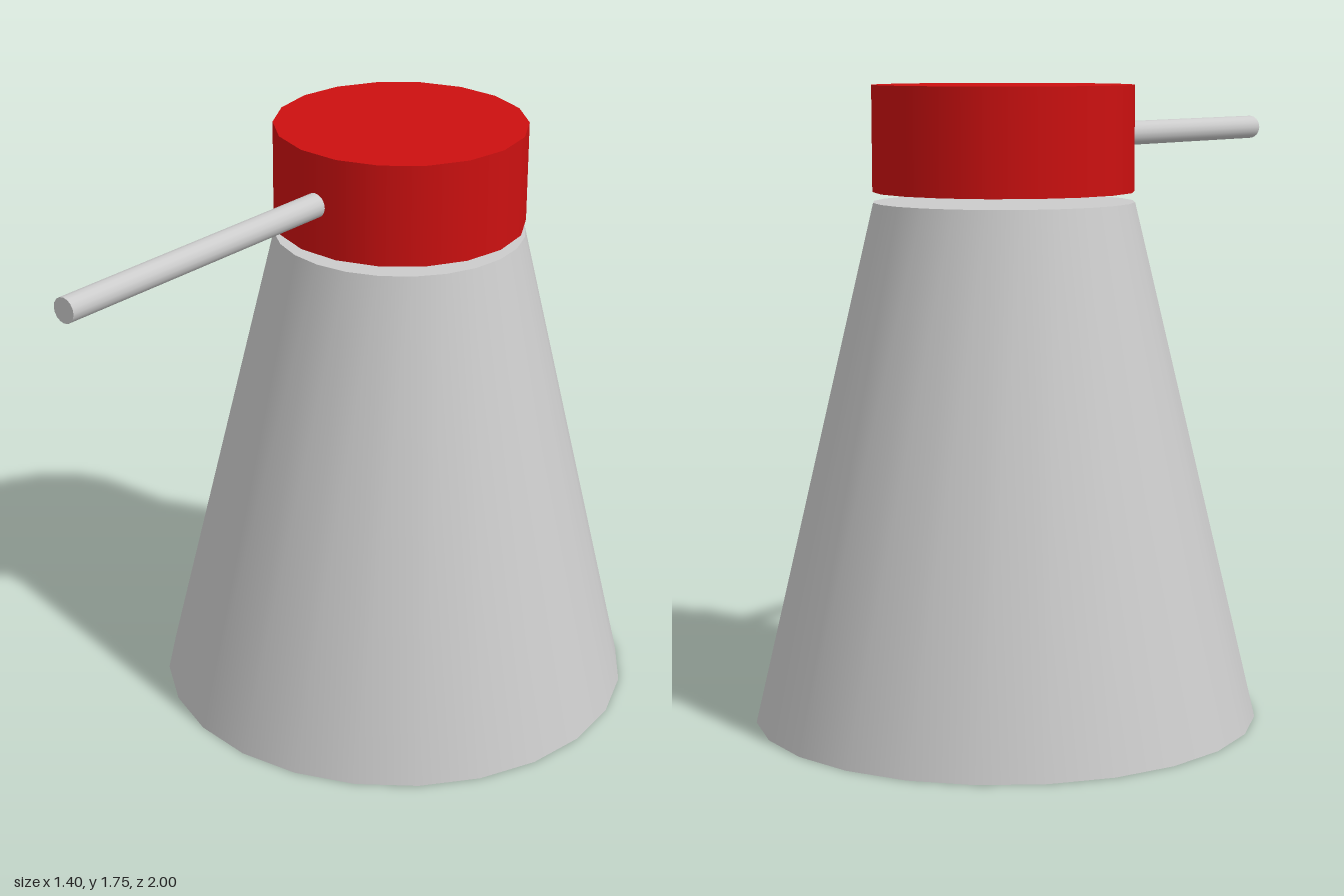
import * as THREE from 'three';

const AXIS_Z = -0.3; // shared vertical axis of tower and cap

function addCylinder(group, name, color, rTop, rBottom, length, sides) {
  const mesh = new THREE.Mesh(
    new THREE.CylinderGeometry(rTop, rBottom, length, sides),
    new THREE.MeshStandardMaterial({ color })
  );
  mesh.name = name;
  group.add(mesh);
  return mesh;
}

export function createModel() {
  const group = new THREE.Group();
  group.name = 'tower';

  // Tapered tower body
  const body = addCylinder(group, 'towerBody', 0xcccccc, 0.36, 0.7, 1.437, 24);
  body.position.set(0, 1.437 / 2, AXIS_Z);

  // Red cap floating just above the body, a corner on each side
  const cap = addCylinder(group, 'cap', 0xcc1010, 0.36, 0.36, 0.29, 18);
  cap.position.set(0, 1.61, AXIS_Z);
  cap.rotation.y = Math.PI / 2;

  // Axle reaching forward out of the cap
  const axle = addCylinder(group, 'axle', 0xcccccc, 0.035, 0.035, 1.0, 16);
  axle.position.set(-0.012, 1.607, 0.5);
  axle.rotation.x = Math.PI / 2;

  return group;
}
